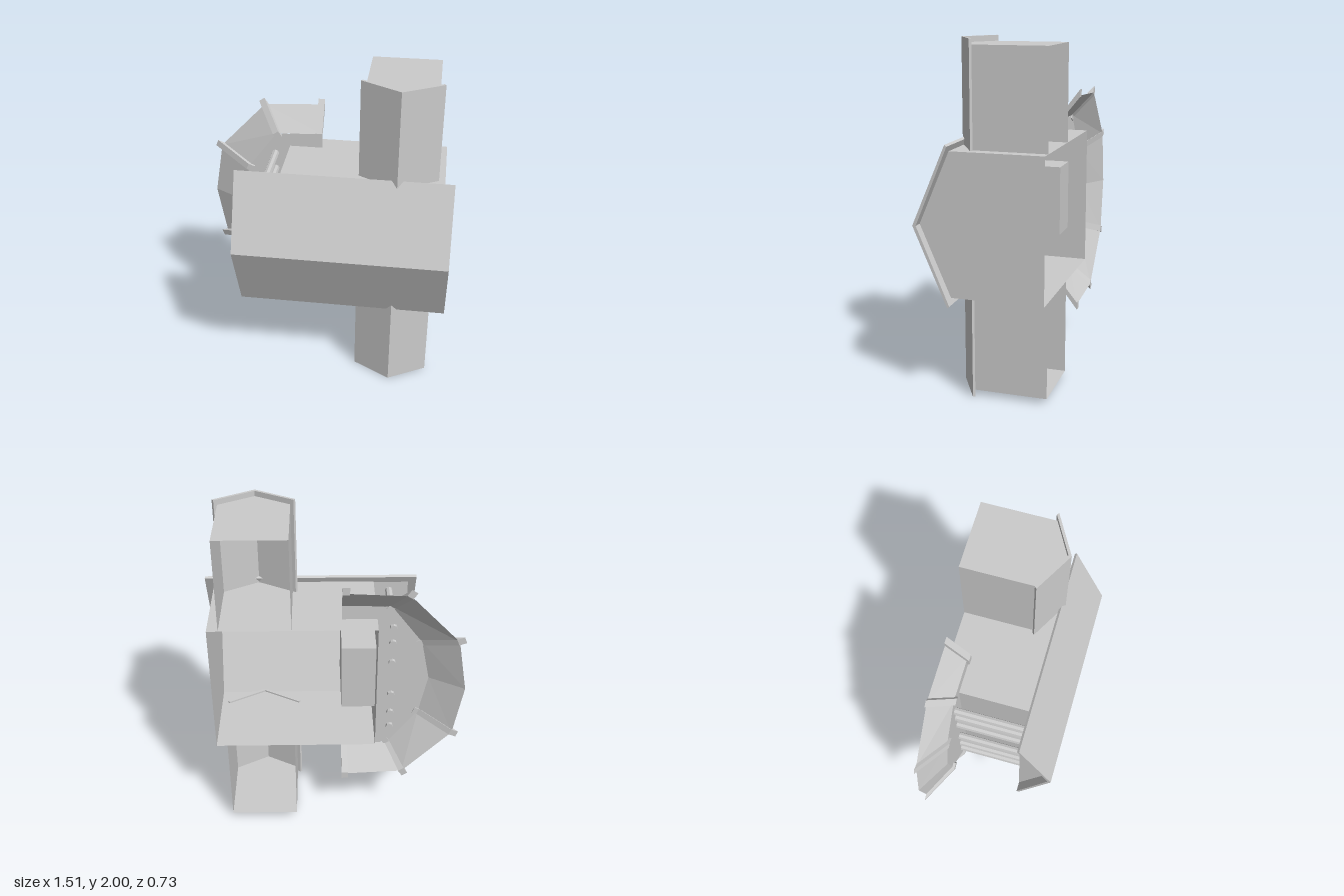
import * as THREE from 'three';

const material = new THREE.MeshStandardMaterial({ color: 0xcccccc, flatShading: true, side: THREE.DoubleSide });

function addMesh(parent, name, geometry) {
  const mesh = new THREE.Mesh(geometry, material);
  mesh.name = name;
  parent.add(mesh);
  return mesh;
}

// Flat convex panel through the given corners, as a triangle fan
function panel(parent, name, corners) {
  const points = [];
  for (let i = 1; i < corners.length - 1; i++) points.push(...corners[0], ...corners[i], ...corners[i + 1]);
  const geometry = new THREE.BufferGeometry();
  geometry.setAttribute('position', new THREE.Float32BufferAttribute(points, 3));
  geometry.computeVertexNormals();
  return addMesh(parent, name, geometry);
}

// Solid prism: profile [across, z] pushed along a length, place maps (across, z, along) to a position
function prism(parent, name, profile, from, to, place) {
  const shape = new THREE.Shape(profile.map(([a, z]) => new THREE.Vector2(a, z)));
  const geometry = new THREE.ExtrudeGeometry(shape, { depth: to - from, bevelEnabled: false });
  const pos = geometry.attributes.position;
  for (let i = 0; i < pos.count; i++) {
    pos.setXYZ(i, ...place(pos.getX(i), pos.getY(i), pos.getZ(i) + from));
  }
  geometry.computeVertexNormals();
  return addMesh(parent, name, geometry);
}

// Thin walls of a hall that is open at its base (z = BASE)
const BASE = -0.365;
function hall(parent, name, half, eave, apex, from, to, place, ends) {
  for (const s of [-1, 1]) {
    panel(parent, name + 'SideWall', [
      place(s * half, BASE, from), place(s * half, BASE, to),
      place(s * half, eave, to), place(s * half, eave, from)]);
  }
  for (const end of ends) {
    panel(parent, name + 'GableWall', [
      place(-half, BASE, end), place(half, BASE, end), place(half, eave, end),
      place(0, apex, end), place(-half, eave, end)]);
  }
}

// Folded roof slab
const roofProfile = (half, eave, apex, t) => [
  [0, apex], [half, eave], [half - 0.01, eave - t * 0.6], [0, apex - t],
  [-half + 0.01, eave - t * 0.6], [-half, eave]];

export function createModel() {
  const model = new THREE.Group();
  model.name = 'building';
  const alongX = (a, z, l) => [l, 1 + a, z];

  // Nave
  const nave = new THREE.Group();
  nave.name = 'nave';
  model.add(nave);
  hall(nave, 'nave', 0.41, 0.168, 0.345, -0.25, 0.7, alongX, [-0.25, 0.7]);
  prism(nave, 'naveRoof', roofProfile(0.453, 0.17, 0.365, 0.02), -0.505, 0.755, alongX);

  // Transept arms, mirrored above and below the nave
  for (const s of [-1, 1]) {
    const arm = new THREE.Group();
    arm.name = 'transeptArm';
    model.add(arm);
    const place = (a, z, l) => [0.433 + a, 1 + s * l, z];
    hall(arm, 'transept', 0.202, 0.06, 0.175, 0.41, 0.968, place, [0.968]);
    prism(arm, 'transeptRoof', roofProfile(0.23, 0.06, 0.188, 0.018), 0.4, 1, place);
  }

  // Portico: pediment, ceiling and a row of columns
  const portico = new THREE.Group();
  portico.name = 'portico';
  model.add(portico);
  prism(portico, 'pediment', [[-0.41, 0.16], [0.41, 0.16], [0, 0.345]], -0.455, -0.25, alongX);
  for (const v of [0.115, 0.25, 0.355]) {
    for (const s of [-1, 1]) {
      const column = addMesh(portico, 'column', new THREE.CylinderGeometry(0.022, 0.022, 0.44, 8));
      column.rotation.x = Math.PI / 2;
      column.position.set(-0.342, 1 + s * v, -0.05);
    }
  }

  // Entrance chamber inside the nave
  const chamber = addMesh(model, 'entranceChamber', new THREE.BoxGeometry(0.2, 0.42, 0.42));
  chamber.position.set(-0.15, 1, -0.04);

  // Sloping skirt around the portico, with its landing and cheek walls
  const skirt = new THREE.Group();
  skirt.name = 'entranceSkirt';
  model.add(skirt);
  const TOP = -0.25;
  const inner = [[-0.05, 0.5], [-0.33, 0.49], [-0.51, 0.25], [-0.56, 0]];
  const outer = [[-0.05, 0.645], [-0.42, 0.625], [-0.705, 0.325], [-0.76, 0]];
  const mirrored = half => [...half, ...half.slice(0, -1).reverse().map(([x, v]) => [x, -v])];
  const at = ([x, v], z) => [x, 1 + v, z];
  const inRing = mirrored(inner), outRing = mirrored(outer);
  for (let i = 0; i < inRing.length - 1; i++) {
    panel(skirt, 'slope', [at(inRing[i], TOP), at(inRing[i + 1], TOP), at(outRing[i + 1], BASE), at(outRing[i], BASE)]);
  }
  panel(skirt, 'landing', [...inRing.slice(1, -1), [-0.25, -0.49], [-0.25, 0.49]].map(p => at(p, TOP)));
  for (const s of [-1, 1]) {
    panel(skirt, 'landingStrip', [[-0.25, 0.41], [-0.05, 0.41], [-0.05, 0.5], [-0.25, 0.493]]
      .map(([x, v]) => at([x, s * v], TOP)));
    for (let i = 0; i < 3; i++) {
      const shift = i === 0 ? -0.02 : 0;
      const a = new THREE.Vector2(inner[i][0] + shift, inner[i][1]);
      const b = new THREE.Vector2(outer[i][0] + shift, outer[i][1]);
      const length = a.distanceTo(b);
      const d = b.clone().sub(a).normalize();
      const start = i === 0 ? -0.045 : -0.03;
      prism(skirt, 'cheekWall',
        [[start, -0.235], [start, -0.255], [0, -0.255], [length - 0.01, BASE], [length + 0.035, BASE], [0.01, -0.235]],
        -0.02, 0.02,
        (r, z, w) => [a.x + d.x * r - d.y * w, 1 + s * (a.y + d.y * r + d.x * w), z]);
    }
  }
  return model;
}
